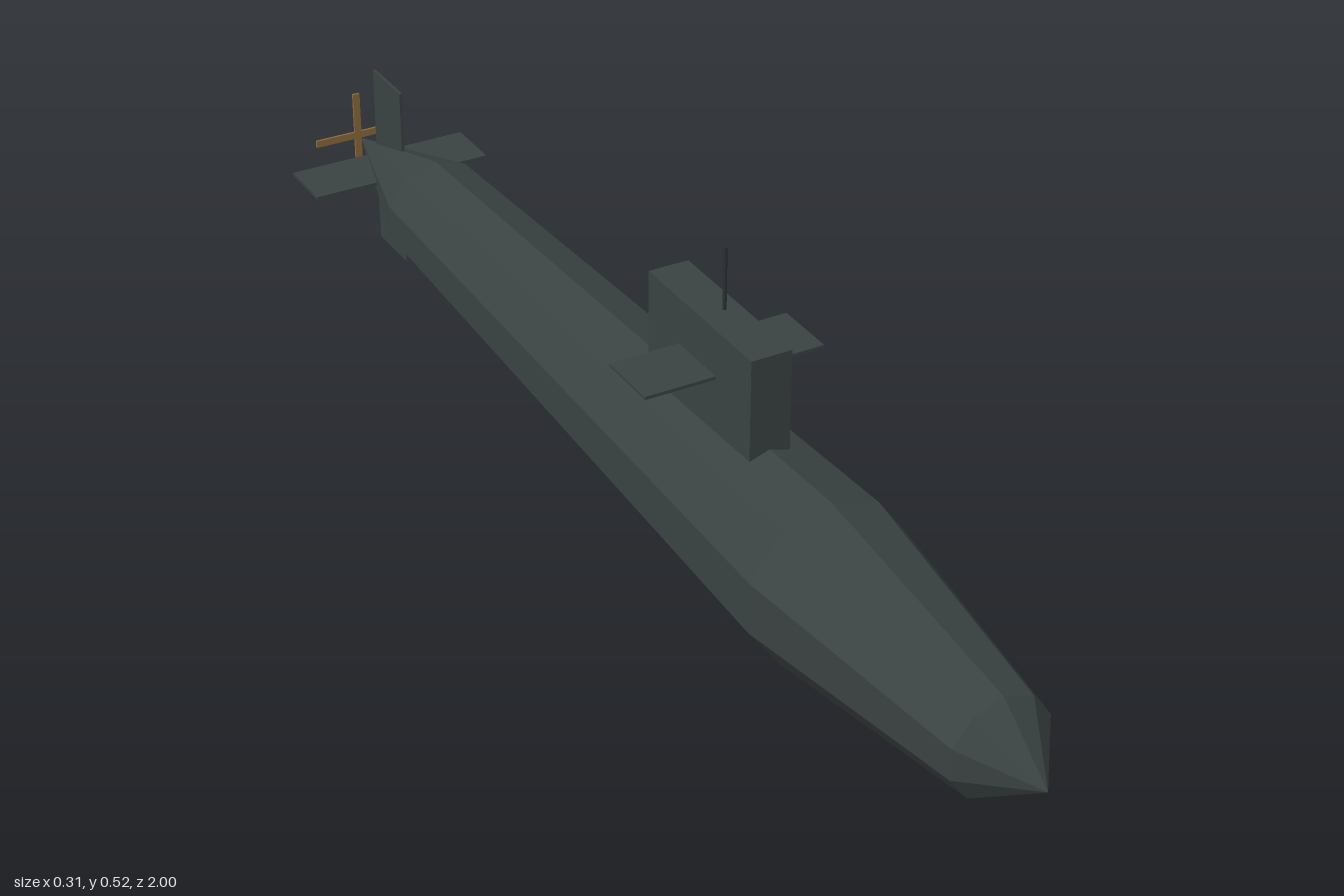
import * as THREE from 'three';

export function createModel() {
  const model = new THREE.Group();
  model.name = 'submarine';

  const paint = (name, color) => {
    const m = new THREE.MeshStandardMaterial({ color });
    m.name = name;
    return m;
  };
  const hullGrey = paint('hullGrey', 0x3a4242);
  const mastGrey = paint('mastGrey', 0x2b3030);
  const bronze = paint('bronze', 0x8a6a3a);

  const AXIS_Y = 0.155; // height of the hull's centre line

  const add = (name, geometry, material, x, y, z) => {
    const mesh = new THREE.Mesh(geometry, material);
    mesh.name = name;
    mesh.position.set(x, y, z);
    model.add(mesh);
    return mesh;
  };
  const box = (name, material, w, h, d, x, y, z) =>
    add(name, new THREE.BoxGeometry(w, h, d), material, x, y, z);

  // Ten-sided faceted hull, turned from (radius, z) stations, stern to bow
  const stations = [[0, -0.985], [0.088, -0.69], [0.128, 0.5], [0.077, 0.9], [0, 1]];
  const hull = new THREE.LatheGeometry(
    stations.map(([r, z]) => new THREE.Vector2(r, z)), 10
  ).rotateX(Math.PI / 2).toNonIndexed();
  hull.computeVertexNormals();
  add('hull', hull, hullGrey, 0, AXIS_Y, 0);

  // Sail with its diving planes and offset mast
  box('sail', hullGrey, 0.063, 0.224, 0.278, 0, 0.312, 0.206);
  for (const side of [1, -1]) {
    const label = side > 0 ? 'left' : 'right';
    box(label + 'SailPlane', hullGrey, 0.115, 0.005, 0.1, side * 0.083, 0.35, 0.203);
    box(label + 'SternPlane', hullGrey, 0.153, 0.005, 0.098, side * 0.0765, AXIS_Y, -0.869);
  }
  add('mast', new THREE.CylinderGeometry(0.0028, 0.0028, 0.11, 6), mastGrey, 0.007, 0.465, 0.209);

  // Upper and lower rudder
  box('rudder', hullGrey, 0.005, 0.31, 0.102, 0, AXIS_Y, -0.865);

  // Crossed propeller blades
  box('verticalPropellerBlades', bronze, 0.012, 0.152, 0.004, 0, AXIS_Y, -0.998);
  box('horizontalPropellerBlades', bronze, 0.152, 0.012, 0.004, 0, AXIS_Y, -0.998);

  return model;
}
